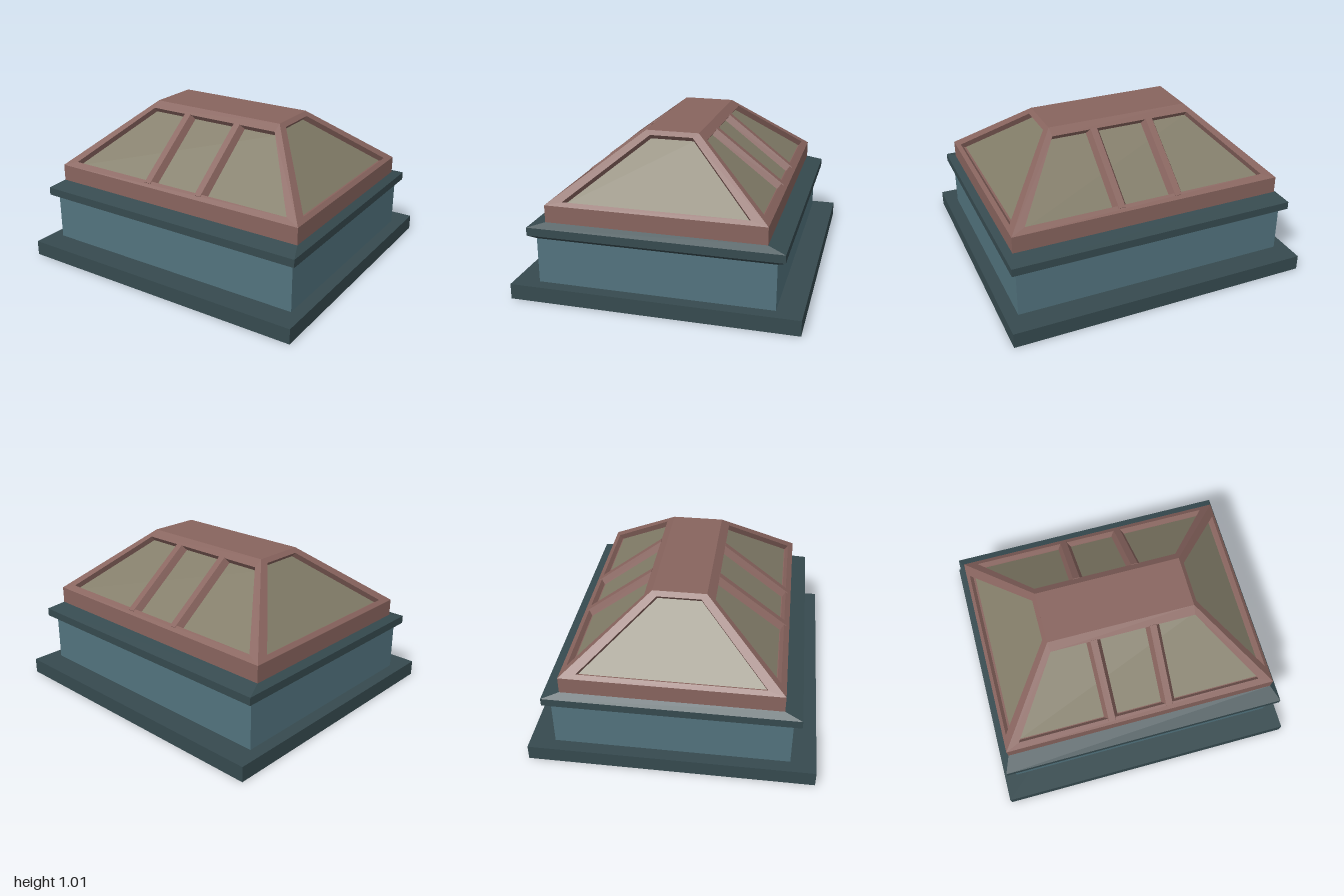
import * as THREE from 'three';

const mat = (name, color) => {
  const m = new THREE.MeshStandardMaterial({ color });
  m.name = name;
  return m;
};

export function createModel() {
  const model = new THREE.Group();
  model.name = 'roofLantern';
  const trim = mat('dark slate trim', 0x364a4f);
  const wall = mat('blue grey wall', 0x52737e);
  const frame = mat('dusty red frame', 0x88645e);
  const glass = mat('olive glass', 0x827c68);

  const add = (parent, name, geometry, material) => {
    const mesh = new THREE.Mesh(geometry, material);
    mesh.name = name;
    parent.add(mesh);
    return mesh;
  };

  // Box whose bottom half-size is [x0, z0] and top half-size is [x1, z1]
  const tier = (name, material, y0, y1, [x0, z0], [x1, z1] = [x0, z0]) => {
    const g = new THREE.BoxGeometry(2, 2, 2);
    const p = g.attributes.position;
    for (let i = 0; i < p.count; i++) {
      const top = p.getY(i) > 0;
      p.setXYZ(i, p.getX(i) * (top ? x1 : x0), top ? y1 : y0, p.getZ(i) * (top ? z1 : z0));
    }
    g.computeVertexNormals();
    return add(model, name, g, material);
  };

  // Stacked base, walls, cornice and curb
  tier('basePlinth', trim, 0, 0.1, [1, 0.912]);
  tier('walls', wall, 0.1, 0.4, [0.917, 0.75]);
  tier('corniceUnderside', trim, 0.395, 0.422, [0.917, 0.75], [0.953, 0.8]);
  tier('corniceBand', trim, 0.422, 0.474, [0.953, 0.8]);
  tier('corniceSlope', trim, 0.474, 0.505, [0.953, 0.8], [0.91, 0.69]);
  tier('curb', frame, 0.505, 0.615, [0.91, 0.69]);
  tier('ridgeCap', frame, 0.985, 1.015, [0.48, 0.17]);

  const EAVE = 0.615, RISE = 0.4, DEPTH = 0.04;
  const trapezoid = (Type, h0, y0, h1, y1) =>
    new Type([[-h0, y0], [h0, y0], [h1, y1], [-h1, y1]].map(([x, y]) => new THREE.Vector2(x, y)));

  // One sloping roof face: frame with an opening, recessed glass, optional mullions
  const roofFace = (name, angle, { eave, ridge, out, run, hole, bars }) => {
    const side = new THREE.Group();
    side.name = name;
    side.rotation.y = angle;
    model.add(side);
    const face = new THREE.Group();
    face.name = name + 'Slope';
    face.position.set(0, EAVE, out);
    face.rotation.x = -Math.atan2(run, RISE);
    side.add(face);

    const length = Math.hypot(run, RISE);
    const along = (y) => ((y - EAVE) / RISE) * length;
    const y0 = along(hole.y0), y1 = along(hole.y1);

    const rim = trapezoid(THREE.Shape, eave, 0, ridge, length);
    rim.holes.push(trapezoid(THREE.Path, hole.h0, y0, hole.h1, y1));
    const rimGeo = new THREE.ExtrudeGeometry(rim, { depth: DEPTH, bevelEnabled: false });
    rimGeo.translate(0, 0, -DEPTH);
    add(face, name + 'Frame', rimGeo, frame);

    const pane = new THREE.ShapeGeometry(trapezoid(THREE.Shape, hole.h0, y0, hole.h1, y1));
    add(face, name + 'Glass', pane, glass).position.z = -DEPTH + 0.001;

    // Bevelled mullion bars running up the slope
    for (const x of bars) {
      const section = trapezoid(THREE.Shape, 0.046, -DEPTH, 0.022, 0.004);
      const g = new THREE.ExtrudeGeometry(section, { depth: y1 - y0 + 0.022, bevelEnabled: false });
      g.rotateX(Math.PI / 2).scale(1, 1, 1);
      // section height now points along +z, length along -y
      add(face, name + 'Mullion', g, frame).position.set(x, y1 + 0.004, 0);
    }
  };

  const longFace = {
    eave: 0.91, ridge: 0.48, out: 0.69, run: 0.52, bars: [-0.195, 0.195],
    hole: { y0: 0.643, h0: 0.815, y1: 0.975, h1: 0.475 },
  };
  const endFace = {
    eave: 0.69, ridge: 0.17, out: 0.91, run: 0.43, bars: [],
    hole: { y0: 0.637, h0: 0.582, y1: 0.99, h1: 0.138 },
  };
  roofFace('frontRoof', 0, longFace);
  roofFace('backRoof', Math.PI, longFace);
  roofFace('leftRoof', Math.PI / 2, endFace);
  roofFace('rightRoof', -Math.PI / 2, endFace);

  return model;
}
